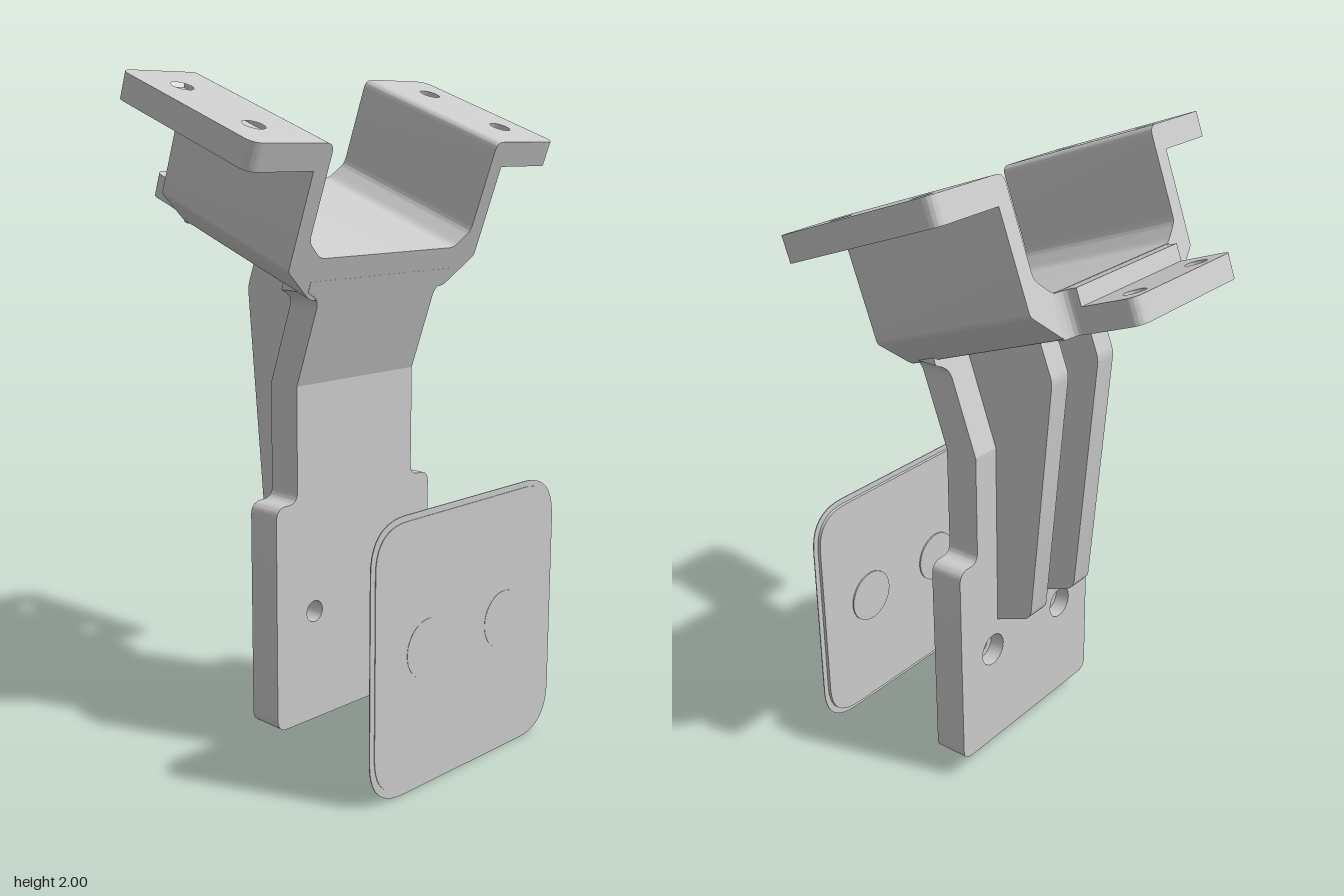
import * as THREE from 'three';
import { toCreasedNormals } from 'three/addons/utils/BufferGeometryUtils.js';

const material = new THREE.MeshStandardMaterial({ color: 0xcccccc });

// Closed outline from [x, y, cornerRadius] points
function outline(points) {
  const shape = new THREE.Shape();
  const n = points.length;
  points.forEach(([x, y, r = 0], i) => {
    const p = new THREE.Vector2(x, y);
    const toward = ([a, b]) => new THREE.Vector2(a, b).sub(p).normalize().multiplyScalar(r).add(p);
    const a = toward(points[(i + n - 1) % n]);
    const b = toward(points[(i + 1) % n]);
    if (i === 0) shape.moveTo(a.x, a.y);
    else shape.lineTo(a.x, a.y);
    if (r) shape.quadraticCurveTo(x, y, b.x, b.y);
  });
  shape.closePath();
  return shape;
}

// Right half of a profile, bottom to top, completed by its mirror image
const mirrored = (half) => [...half, ...half.map(([x, y, r]) => [-x, y, r]).reverse()];

const box = (x0, y0, x1, y1, r) => [[x0, y0, r], [x1, y0, r], [x1, y1, r], [x0, y1, r]];

// Extrude an outline from z0 to z1, with round holes of radius r
function slab(points, z0, z1, holes = [], r = 0) {
  const shape = outline(points);
  for (const [x, y] of holes) {
    shape.holes.push(new THREE.Path().absarc(x, y, r, 0, Math.PI * 2, true));
  }
  return new THREE.ExtrudeGeometry(shape, { depth: z1 - z0, bevelEnabled: false, curveSegments: 10 })
    .translate(0, 0, z0);
}

function add(parent, name, geometry) {
  const mesh = new THREE.Mesh(toCreasedNormals(geometry, 0.5), material);
  mesh.name = name;
  parent.add(mesh);
  return mesh;
}

// Slab with wide counterbores on its lower layer and narrow holes above
function boredSlab(parent, name, points, z0, zMid, z1, holes, place = (g) => g) {
  const group = new THREE.Group();
  group.name = name;
  add(group, 'counterboreLayer', place(slab(points, z0, zMid, holes, 0.053)));
  add(group, 'screwHoleLayer', place(slab(points, zMid, z1, holes, 0.033)));
  parent.add(group);
}

function buildHead() {
  // Local frame: y is normal to the plate, z = 0 is its front edge
  const head = new THREE.Group();
  head.name = 'tiltedHead';
  const length = 0.577;
  const layFlat = (g) => g.rotateX(-Math.PI / 2);

  // U-shaped channel with chamfered lower corners
  const right = [[0.285, 0, 0.02], [0.397, 0.095, 0.01], [0.397, 0.463], [0.344, 0.463, 0.03],
    [0.344, 0.18, 0.02], [0.285, 0.128, 0.02]];
  add(head, 'channel', slab(mirrored(right), -length, 0));

  // Side mounting flanges
  for (const s of [-1, 1]) {
    const plan = [[0.385, 0], [0.63, 0, 0.04], [0.63, length, 0.04], [0.385, length]].map(([x, y, r]) => [s * x, y, r]);
    const holes = [[s * 0.515, 0.136], [s * 0.515, 0.445]];
    boredSlab(head, s > 0 ? 'leftFlange' : 'rightFlange', plan, 0.385, 0.418, 0.463, holes, layFlat);
  }

  // Rear step and thinner rear tab, with a filleted neck
  const neck = [[0.29, 0.56], [0.29, 0.577], [0.25, 0.59, 0.025], [0.25, 0.63]];
  add(head, 'rearStep', layFlat(slab(mirrored(neck), 0.001, 0.127)));
  const tab = [[0.25, 0.625], [0.25, 0.804, 0.04]];
  boredSlab(head, 'rearTab', mirrored(tab), 0, 0.03, 0.075, [[-0.155, 0.74], [0.155, 0.74]], layFlat);

  head.rotation.x = THREE.MathUtils.degToRad(20);
  head.position.set(0, 1.37, 0.2);
  return head;
}

function buildStem() {
  const stem = new THREE.Group();
  stem.name = 'stem';

  // Wide foot plate narrowing to the upright, with counterbores at the back
  const foot = [[0.335, 0.065, 0.04], [0.335, 0.76, 0.04], [0.25, 0.76, 0.035], [0.25, 1.11]];
  boredSlab(stem, 'footPlate', mirrored(foot), 0, 0.05, 0.11, [[-0.18, 0.41], [0.18, 0.41]]);

  // Upper stem, sheared forward and flared into the head
  const upper = slab(mirrored([[0.25, 1.11], [0.25, 1.37, 0.03], [0.3, 1.395], [0.3, 1.425]]), 0, 0.11);
  const pos = upper.attributes.position;
  for (let i = 0; i < pos.count; i++) {
    pos.setZ(i, pos.getZ(i) + (pos.getY(i) - 1.11) * 0.352);
  }
  upper.computeVertexNormals();
  add(stem, 'upperStem', upper);

  // Two stiffening ribs at the back, profile in z and y
  const profile = [[0.03, 0.5], [-0.13, 0.56, 0.03], [-0.205, 1.37, 0.02], [-0.15, 1.515],
    [0.1, 1.43], [0.1, 1.38], [0.03, 1.14]];
  for (const s of [-1, 1]) {
    const rib = add(stem, s > 0 ? 'leftRib' : 'rightRib', slab(profile, -0.04, 0.04).rotateY(-Math.PI / 2));
    rib.position.x = s * 0.115;
  }
  return stem;
}

function buildPad() {
  // Separate thin pad in front of the foot plate
  const pad = new THREE.Group();
  pad.name = 'frontPad';
  add(pad, 'padRim', slab(box(-0.405, 0, 0.405, 0.815, 0.14), 0.55, 0.553));
  add(pad, 'padBody', slab(box(-0.387, 0.02, 0.387, 0.797, 0.125), 0.539, 0.555));
  for (const s of [-1, 1]) {
    const disc = add(pad, s > 0 ? 'leftDisc' : 'rightDisc',
      new THREE.CylinderGeometry(0.088, 0.088, 0.022, 48).rotateX(Math.PI / 2));
    disc.position.set(s * 0.17, 0.41, 0.545);
  }
  return pad;
}

export function createModel() {
  const model = new THREE.Group();
  model.name = 'mountingBracket';
  model.add(buildHead(), buildStem(), buildPad());
  return model;
}
